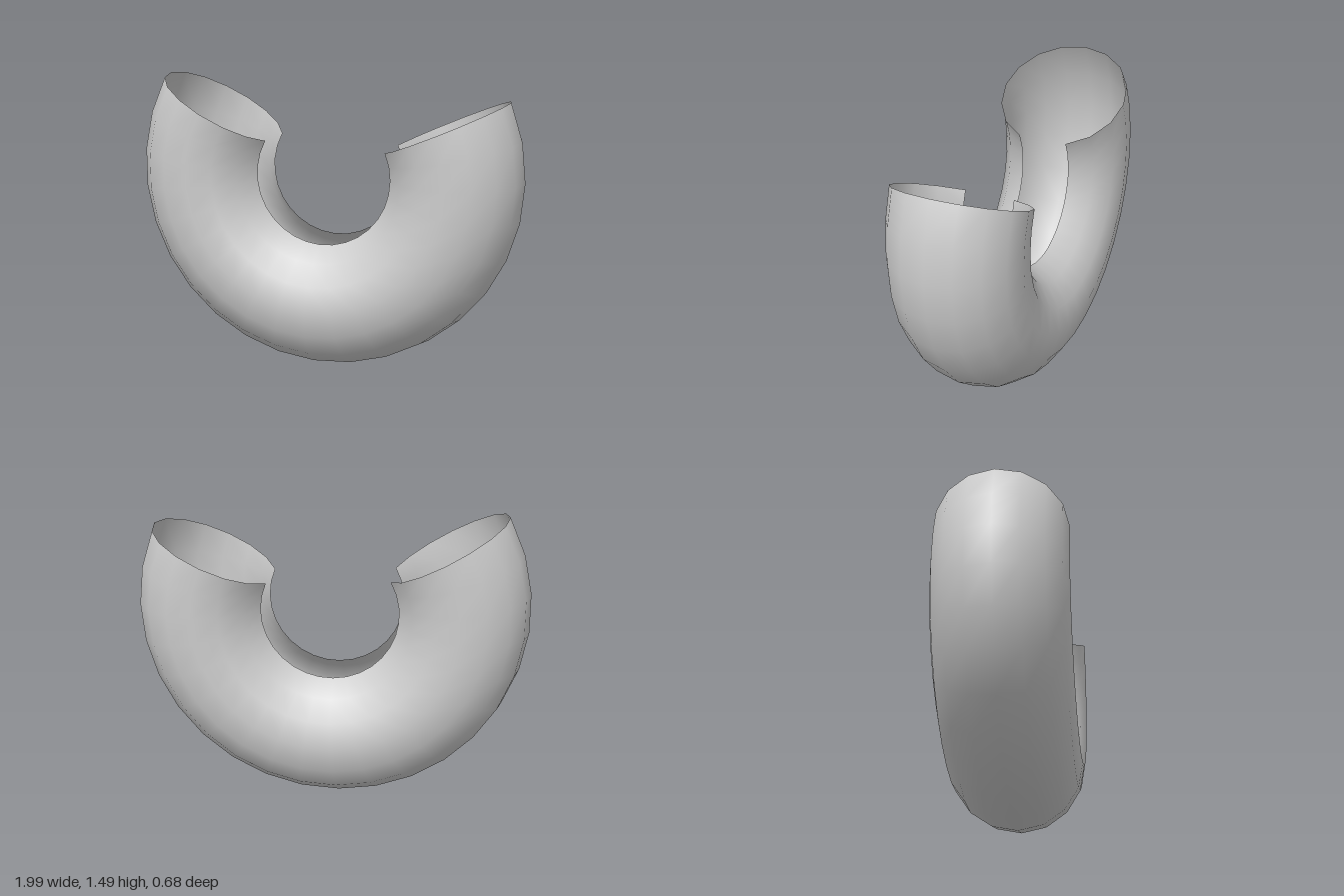
import * as THREE from 'three';

export function createModel() {
  const group = new THREE.Group();
  const rad = THREE.MathUtils.degToRad;
  const ringRadius = 0.662, tubeRadius = 0.338;

  // Tube cross-section, left open along the inner rim
  const profile = [];
  for (let i = -7; i <= 7; i++) {
    const a = rad(i * 22.5);
    profile.push(new THREE.Vector2(ringRadius + tubeRadius * Math.cos(a), tubeRadius * Math.sin(a)));
  }

  // Sweep around the ring, leaving the top of the ring open
  const geometry = new THREE.LatheGeometry(profile, 20, rad(-119.1), rad(232.45));
  geometry.rotateX(Math.PI / 2);
  geometry.translate(0, 1, 0);

  const shell = new THREE.Mesh(geometry, new THREE.MeshStandardMaterial({ color: 0xcccccc, side: THREE.DoubleSide }));
  shell.name = 'openRingShell';
  group.add(shell);
  return group;
}
